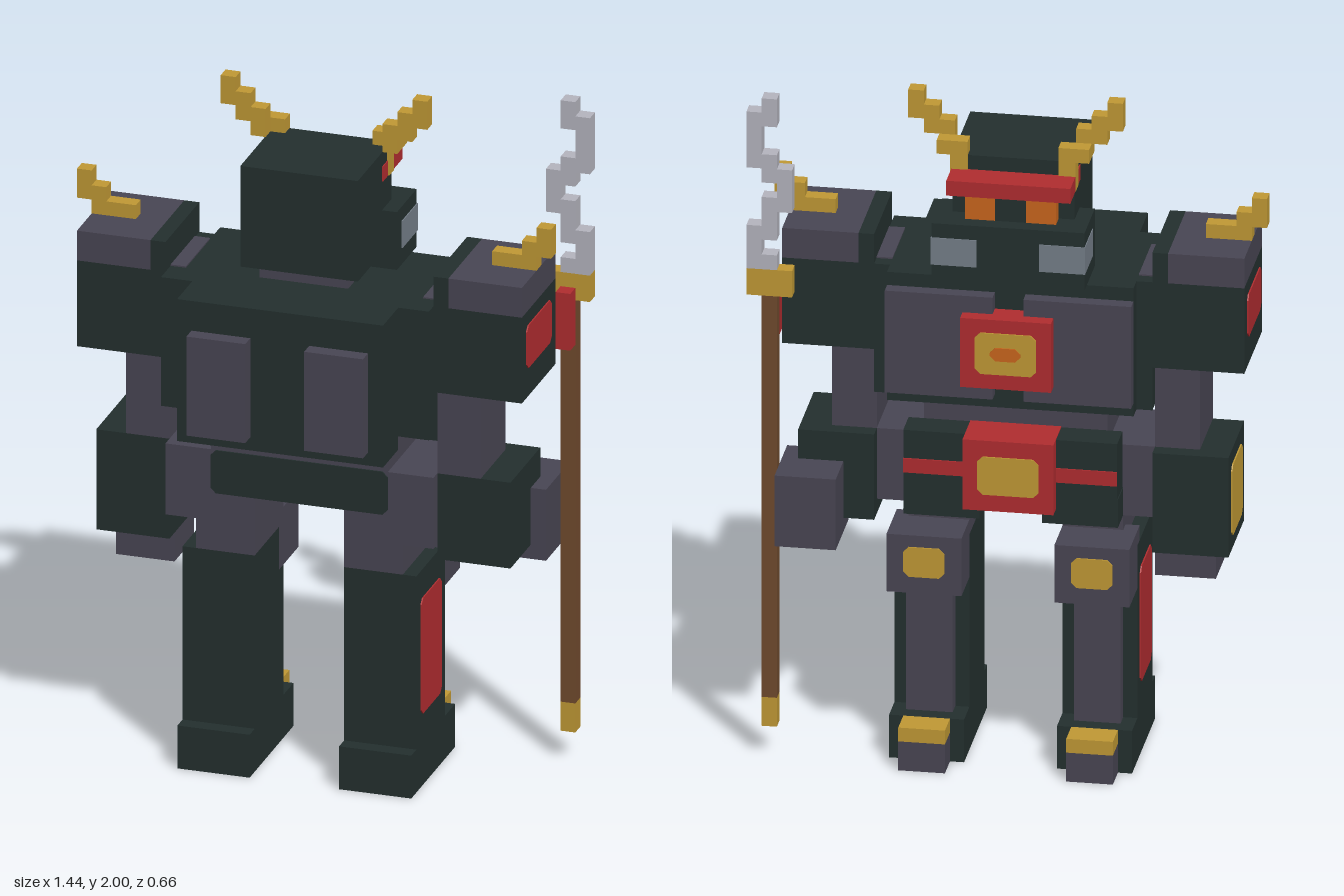
import * as THREE from 'three';

const mat = (name, color) => {
  const m = new THREE.MeshStandardMaterial({ color });
  m.name = name;
  return m;
};

export function createModel() {
  const root = new THREE.Group();
  root.name = 'armouredRobot';
  const dark = mat('dark green armour', 0x24302f);
  const slate = mat('slate violet', 0x494654);
  const red = mat('red', 0xb22d30);
  const gold = mat('gold', 0xc29a35);
  const orange = mat('orange', 0xcb671d);
  const grey = mat('vent grey', 0x76808a);
  const silver = mat('silver', 0xb6b6c0);
  const brown = mat('brown wood', 0x714b2e);

  // Box given by its limits on each axis
  const box = (name, m, x0, x1, y0, y1, z0, z1) => {
    const mesh = new THREE.Mesh(new THREE.BoxGeometry(x1 - x0, y1 - y0, z1 - z0), m);
    mesh.position.set((x0 + x1) / 2, (y0 + y1) / 2, (z0 + z1) / 2);
    mesh.name = name;
    root.add(mesh);
  };
  // The same box on both sides of the body's own middle plane
  const MID = -0.047;
  const pair = (name, m, x0, x1, ...yz) => {
    box(name + 'Left', m, x0, x1, ...yz);
    box(name + 'Right', m, MID - x1, MID - x0, ...yz);
  };
  // Thin panel with clipped corners; face is 'x', '-x' or '-z', u runs along the face
  const panel = (name, m, face, at, u0, u1, y0, y1) => {
    const w = (u1 - u0) / 2, h = (y1 - y0) / 2, c = 0.015;
    const s = new THREE.Shape([[-w + c, -h], [w - c, -h], [w, -h + c], [w, h - c],
      [w - c, h], [-w + c, h], [-w, h - c], [-w, -h + c]].map(p => new THREE.Vector2(...p)));
    const mesh = new THREE.Mesh(new THREE.ExtrudeGeometry(s, { depth: 0.004, bevelEnabled: false }), m);
    const u = (u0 + u1) / 2, y = (y0 + y1) / 2;
    if (face === '-z' || face === 'z') {
      mesh.rotation.y = face === 'z' ? 0 : Math.PI;
      mesh.position.set(u, y, at);
    } else {
      mesh.rotation.y = face === 'x' ? Math.PI / 2 : -Math.PI / 2;
      mesh.position.set(at, y, u);
    }
    mesh.name = name;
    root.add(mesh);
  };

  // Legs and feet
  pair('leg', dark, 0.108, 0.32, 0.13, 0.655, -0.15, 0.105);
  pair('foot', dark, 0.108, 0.32, 0, 0.13, -0.24, 0.15);
  pair('toe', slate, 0.148, 0.28, 0, 0.088, -0.325, -0.24);
  pair('toeCap', gold, 0.148, 0.28, 0.088, 0.13, -0.325, -0.24);
  pair('shin', slate, 0.148, 0.28, 0.13, 0.525, -0.195, -0.15);
  pair('knee', slate, 0.108, 0.32, 0.525, 0.70, -0.285, -0.11);
  pair('thigh', slate, 0.108, 0.28, 0.655, 0.745, -0.15, 0.105);
  panel('legPanelLeft', red, 'x', 0.32, -0.11, 0.07, 0.22, 0.57);
  panel('legPanelRight', red, '-x', MID - 0.32, -0.11, 0.07, 0.22, 0.57);
  for (const x of [0.214, MID - 0.214]) {
    panel('kneePanel', gold, '-z', -0.285, x - 0.058, x + 0.058, 0.575, 0.665);
  }

  // Hips, waist and belt
  pair('hip', slate, 0.108, 0.37, 0.745, 0.96, -0.15, 0.105);
  box('waist', slate, -0.283, 0.236, 0.83, 1.09, -0.15, 0.105);
  panel('rearBelt', dark, 'z', 0.105, -0.283, 0.236, 0.83, 0.96);
  box('belt', dark, -0.325, 0.28, 0.83, 1.0, -0.24, -0.15);
  pair('skirt', dark, 0.065, 0.28, 0.745, 0.83, -0.24, -0.15);
  box('beltStripe', red, -0.325, 0.28, 0.872, 0.915, -0.244, -0.24);
  box('beltBuckle', red, -0.152, 0.105, 0.79, 1.003, -0.285, -0.149);
  panel('buckleInlay', gold, '-z', -0.285, -0.11, 0.063, 0.84, 0.955);

  // Torso
  box('torso', dark, MID - 0.37, 0.37, 1.09, 1.48, -0.195, 0.145);
  box('chest', dark, MID - 0.325, 0.325, 1.09, 1.48, -0.245, -0.195);
  box('backpack', dark, -0.325, 0.28, 1.05, 1.48, 0.145, 0.28);
  pair('backPlate', slate, 0.063, 0.236, 1.09, 1.39, 0.28, 0.325);
  pair('chestPlate', slate, 0.02, 0.325, 1.13, 1.44, -0.285, -0.245);
  pair('collarPatch', slate, 0.325, 0.37, 1.48, 1.484, -0.155, 0.06);
  box('chestEmblem', red, -0.152, 0.105, 1.18, 1.39, -0.325, -0.245);
  panel('emblemInlay', gold, '-z', -0.325, -0.11, 0.063, 1.225, 1.35);
  panel('emblemCore', orange, '-z', -0.329, -0.066, 0.02, 1.268, 1.308);

  // Head
  box('neck', slate, -0.155, 0.105, 1.48, 1.525, -0.11, 0.06);
  box('head', dark, -0.197, 0.148, 1.525, 1.83, -0.195, 0.105);
  box('mask', dark, -0.24, 0.192, 1.48, 1.655, -0.285, -0.11);
  pair('vent', grey, 0.065, 0.195, 1.53, 1.612, -0.288, -0.15);
  pair('eye', orange, 0.02, 0.105, 1.655, 1.742, -0.24, -0.195);
  box('noseBridge', dark, -0.066, 0.02, 1.655, 1.742, -0.24, -0.195);
  box('visor', red, -0.2, 0.151, 1.742, 1.787, -0.285, -0.11);

  // Head antlers, climbing outward in steps
  pair('antlerRoot', gold, 0.105, 0.154, 1.742, 1.872, -0.2, -0.156);
  pair('antlerJoint', gold, 0.148, 0.192, 1.83, 1.872, -0.2, -0.156);
  [[0.148, 1.83, 1.915], [0.192, 1.872, 1.957], [0.236, 1.915, 2.0]].forEach(([x, y0, y1]) =>
    pair('antlerStep', gold, x, x + 0.044, y0, y1, -0.156, -0.113));

  // Shoulders and their horns
  pair('shoulder', dark, 0.37, 0.63, 1.22, 1.48, -0.195, 0.105);
  pair('shoulderCap', slate, 0.414, 0.63, 1.48, 1.57, -0.195, 0.105);
  pair('shoulderRim', dark, 0.37, 0.414, 1.48, 1.57, -0.195, 0.105);
  panel('shoulderPanelLeft', red, 'x', 0.63, -0.15, 0.07, 1.308, 1.437);
  panel('shoulderPanelRight', red, '-x', MID - 0.63, -0.15, 0.07, 1.308, 1.437);
  pair('hornBase', gold, 0.5, 0.587, 1.57, 1.612, -0.068, -0.025);
  pair('hornStep', gold, 0.587, 0.63, 1.57, 1.655, -0.068, -0.025);
  pair('hornTip', gold, 0.63, 0.673, 1.612, 1.7, -0.068, -0.025);

  // Arms: one hangs, the other reaches forward to the staff
  pair('upperArm', slate, 0.37, 0.497, 0.96, 1.22, -0.15, 0.07);
  box('forearmLeft', dark, 0.37, 0.585, 0.7, 0.96, -0.195, 0.07);
  box('handLeft', slate, 0.457, 0.63, 0.657, 0.872, -0.325, -0.11);
  box('forearmRight', dark, -0.632, -0.417, 0.657, 0.96, -0.195, 0.07);
  box('handRight', slate, -0.589, -0.417, 0.57, 0.657, -0.15, 0.025);
  panel('forearmPanel', gold, '-x', -0.632, -0.15, 0.025, 0.7, 0.915);

  // Staff with a wavy blade
  const Z = [-0.285, -0.24];
  box('staffFoot', gold, 0.63, 0.673, 0.09, 0.178, ...Z);
  box('staffShaft', brown, 0.63, 0.673, 0.178, 1.4, ...Z);
  box('staffCollar', gold, 0.587, 0.716, 1.4, 1.48, ...Z);
  box('staffTassel', red, 0.63, 0.673, 1.265, 1.437, -0.24, -0.195);
  [[0.63, 1.48, 1.525], [0.673, 1.48, 1.612], [0.63, 1.57, 1.7], [0.587, 1.657, 1.787],
    [0.63, 1.744, 1.83], [0.673, 1.787, 1.957], [0.63, 1.915, 2.0]].forEach(([x, y0, y1]) =>
    box('bladeSegment', silver, x, x + 0.043, y0, y1, ...Z));

  return root;
}
